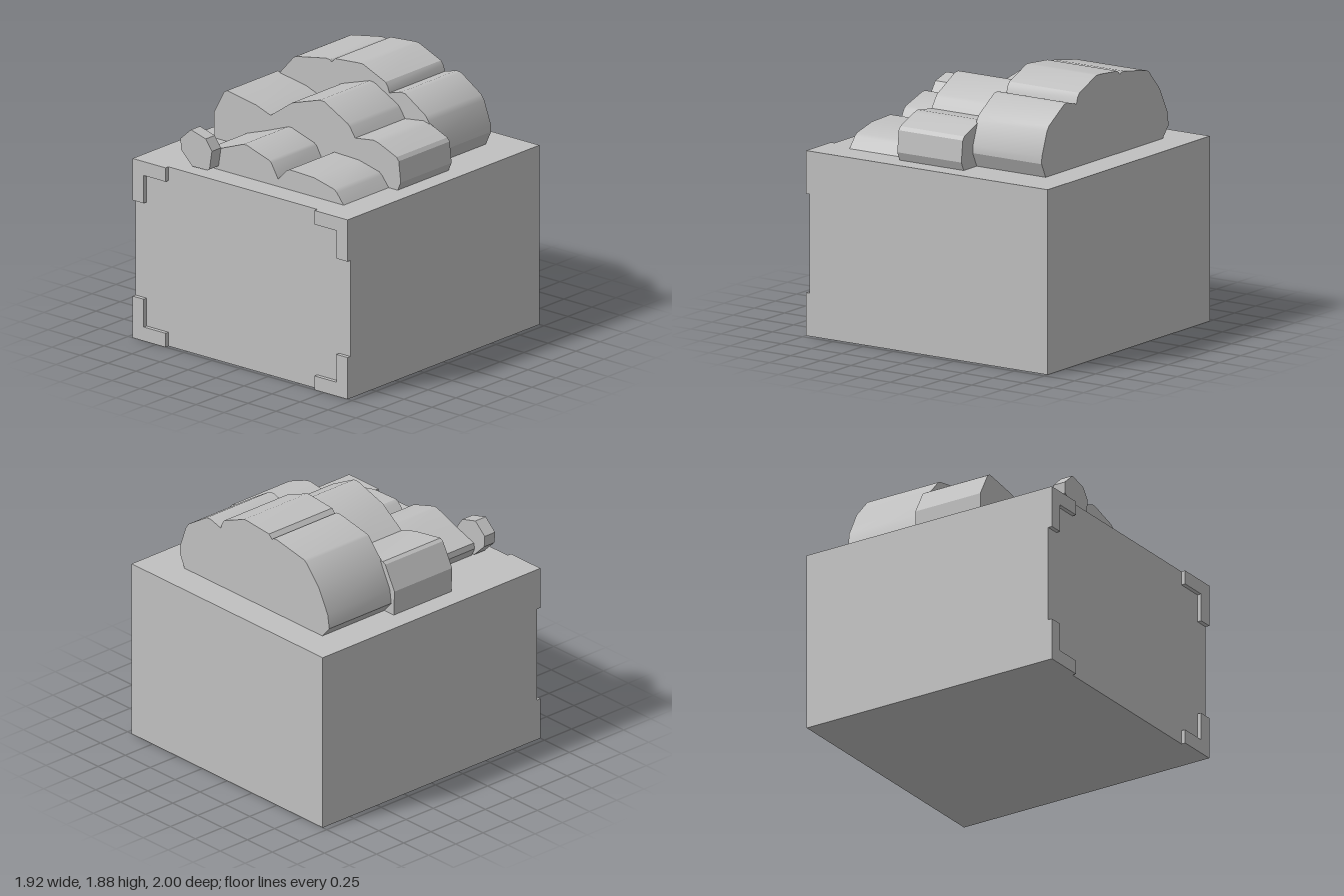
import * as THREE from 'three';
import { toCreasedNormals } from 'three/addons/utils/BufferGeometryUtils.js';

const BOX_TOP = 1.29;

// Extrude an x-y outline between two depths, smoothing only shallow bends
function slab(name, points, zBack, zFront, material) {
  const shape = new THREE.Shape(points.map(([x, y]) => new THREE.Vector2(x, y)));
  const geometry = new THREE.ExtrudeGeometry(shape, { depth: zFront - zBack, bevelEnabled: false });
  geometry.translate(0, 0, zBack);
  const mesh = new THREE.Mesh(toCreasedNormals(geometry, 0.45), material);
  mesh.name = name;
  return mesh;
}

export function createModel() {
  const group = new THREE.Group();
  group.name = 'crateWithMounds';
  const grey = new THREE.MeshStandardMaterial({ color: 0xc0c0c0 });
  grey.name = 'light grey';

  // Crate body
  const body = new THREE.Mesh(new THREE.BoxGeometry(1.92, BOX_TOP, 1.97), grey);
  body.name = 'crateBody';
  body.position.set(0, BOX_TOP / 2, -0.015);
  group.add(body);

  // Raised L-shaped brackets on the front corners
  for (const sx of [-1, 1]) {
    for (const top of [false, true]) {
      const outline = [[0.96, 0], [0.96, 0.3], [0.86, 0.3], [0.86, 0.1], [0.665, 0.1], [0.665, 0]]
        .map(([x, y]) => [sx * x, top ? BOX_TOP - y : y]);
      group.add(slab('cornerBracket', outline, 0.97, 1, grey));
    }
  }

  // Stepped mounds, tallest at the back
  group.add(slab('backMound', [
    [-0.715, 1.29], [-0.785, 1.37], [-0.77, 1.47], [-0.68, 1.645], [-0.55, 1.79], [-0.53, 1.8],
    [-0.26, 1.85], [-0.225, 1.847], [-0.21, 1.835], [-0.18, 1.865], [0.03, 1.883], [0.07, 1.883],
    [0.27, 1.8], [0.29, 1.775], [0.305, 1.73], [0.41, 1.76], [0.45, 1.755], [0.63, 1.64],
    [0.655, 1.605], [0.715, 1.44], [0.717, 1.39], [0.67, 1.29],
  ], -0.78, -0.2, grey));

  group.add(slab('middleMound', [
    [-0.81, 1.29], [-0.817, 1.47], [-0.725, 1.64], [-0.7, 1.655], [-0.44, 1.612], [-0.31, 1.567],
    [-0.12, 1.7], [0.13, 1.778], [0.17, 1.775], [0.38, 1.665], [0.4, 1.645], [0.445, 1.577],
    [0.61, 1.6], [0.66, 1.588], [0.815, 1.525], [0.835, 1.5], [0.852, 1.35], [0.825, 1.29],
  ], -0.21, 0.32, grey));

  group.add(slab('frontMound', [
    [-0.5, 1.29], [-0.53, 1.35], [-0.52, 1.39], [-0.35, 1.447], [-0.15, 1.522], [-0.12, 1.522],
    [0.08, 1.46], [0.1, 1.445], [0.16, 1.342], [0.235, 1.42], [0.26, 1.434], [0.48, 1.427],
    [0.66, 1.385], [0.685, 1.365], [0.745, 1.29],
  ], 0.32, 0.79, grey));

  // Small faceted pebble in front of the mounds
  group.add(slab('pebble', [
    [-0.525, 1.303], [-0.625, 1.4], [-0.63, 1.48], [-0.537, 1.563], [-0.405, 1.527],
    [-0.35, 1.45], [-0.372, 1.315], [-0.39, 1.305],
  ], 0.79, 0.885, grey));

  return group;
}
